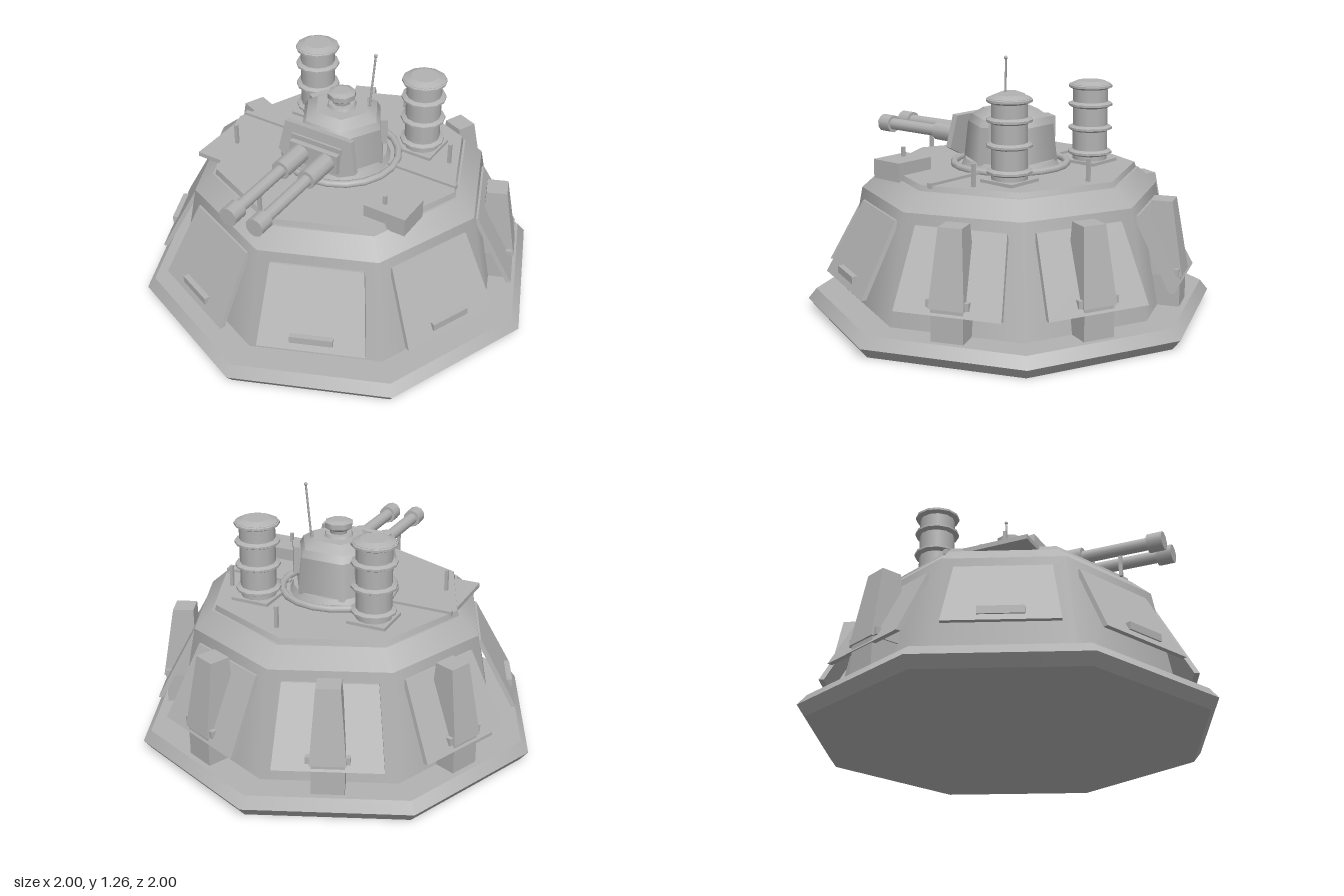
import * as THREE from 'three';

const grey = new THREE.MeshStandardMaterial({ color: 0xb2b2b2 });
grey.name = 'armour grey';

function add(parent, name, geometry, x = 0, y = 0, z = 0) {
  const mesh = new THREE.Mesh(geometry, grey);
  mesh.name = name;
  mesh.position.set(x, y, z);
  parent.add(mesh);
  return mesh;
}

const box = (w, h, d) => new THREE.BoxGeometry(w, h, d);

// Stacked frusta from [radius, y] pairs, with hard edges between the bands
function stack(parent, name, profile, sides, thetaStart = 0) {
  const group = new THREE.Group();
  group.name = name;
  for (let i = 0; i < profile.length - 1; i++) {
    const [r0, y0] = profile[i], [r1, y1] = profile[i + 1];
    const open = i > 0 && i < profile.length - 2;
    add(group, name + 'Band', new THREE.CylinderGeometry(r1, r0, y1 - y0, sides, 1, open, thetaStart), 0, (y0 + y1) / 2, 0);
  }
  parent.add(group);
  return group;
}

// Six-sided block whose bottom and top are {y, w, near, far}
function taper(bottom, top) {
  const g = box(1, 1, 1), p = g.attributes.position;
  for (let i = 0; i < p.count; i++) {
    const s = p.getY(i) > 0 ? top : bottom;
    p.setXYZ(i, p.getX(i) * s.w, s.y, p.getZ(i) > 0 ? s.far : s.near);
  }
  g.computeVertexNormals();
  return g;
}

function rod(parent, name, r, from, to, sides = 8) {
  const a = new THREE.Vector3(...from), b = new THREE.Vector3(...to);
  const mesh = add(parent, name, new THREE.CylinderGeometry(r, r, a.distanceTo(b), sides));
  mesh.position.copy(a).add(b).multiplyScalar(0.5);
  mesh.quaternion.setFromUnitVectors(new THREE.Vector3(0, 1, 0), b.sub(a).normalize());
  return mesh;
}

export function createModel() {
  const model = new THREE.Group();
  model.name = 'bunker';

  // Octagonal foundation, walls and deck
  stack(model, 'foundation', [[0.96, 0], [1, 0.05], [0.96, 0.1]], 8);
  stack(model, 'wall', [[0.82, 0.09], [0.72, 0.61], [0.63, 0.69]], 8);
  add(model, 'deck', new THREE.CylinderGeometry(0.61, 0.62, 0.03, 8), 0, 0.7, 0);

  // Flared armour flaps on every face, with buttresses on the rear four
  for (let i = 0; i < 8; i++) {
    const angle = (i + 0.5) * Math.PI / 4;
    const side = new THREE.Group();
    side.name = 'armourSide';
    side.rotation.y = angle;
    add(side, 'flap', taper({ y: 0.22, w: 0.5, near: 0.842, far: 0.866 }, { y: 0.56, w: 0.43, near: 0.66, far: 0.684 }));
    add(side, 'slotSill', box(0.2, 0.035, 0.03), 0, 0.27, 0.842);
    if (Math.cos(angle) < 0) {
      add(side, 'buttress', taper({ y: 0.25, w: 0.165, near: 0.7, far: 0.87 }, { y: 0.6, w: 0.11, near: 0.71, far: 0.81 }));
      add(side, 'buttressFoot', box(0.15, 0.2, 0.16), 0, 0.15, 0.78);
    }
    model.add(side);
  }

  // Deck fittings
  add(model, 'sidePlate', box(0.5, 0.022, 0.4), -0.345, 0.7, 0.16);
  add(model, 'hatchBox', box(0.21, 0.09, 0.17), 0.45, 0.73, 0.285);
  for (const s of [-1, 1]) add(model, 'deckRib', box(0.36, 0.025, 0.025), s * 0.42, 0.715, -0.04);
  for (const [x, z] of [[-0.48, 0.2], [0.42, 0.31], [0.48, -0.2], [0.06, -0.52], [-0.06, 0.6]])
    add(model, 'post', box(0.016, 0.12, 0.016), x, 0.76, z);

  // Ringed exhaust stacks
  for (const s of [-1, 1]) {
    add(model, 'stackPad', box(0.19, 0.02, 0.19), s * 0.3, 0.72, -0.255);
    const pipe = stack(model, 'exhaustStack', [[0.085, 0.71], [0.085, 1.08], [0.1, 1.09], [0.1, 1.1], [0.065, 1.115]], 12);
    pipe.position.set(s * 0.3, 0, -0.255);
    for (const y of [0.765, 0.885, 1.0, 1.09]) {
      const ring = stack(pipe, 'stackRing', [[0.088, -0.014], [0.107, -0.005], [0.107, 0.005], [0.088, 0.014]], 12);
      ring.position.y = y;
    }
  }

  // Turret ring and hexagonal turret
  const turret = new THREE.Group();
  turret.name = 'turret';
  model.add(turret);
  const race = add(turret, 'turretRing', new THREE.TorusGeometry(0.275, 0.018, 8, 20), 0, 0.725, 0);
  race.rotation.x = Math.PI / 2;
  add(turret, 'turretBase', new THREE.CylinderGeometry(0.22, 0.24, 0.04, 20), 0, 0.73, 0);
  stack(turret, 'turretBody', [[0.23, 0.74], [0.21, 0.92], [0.19, 0.955], [0.135, 0.99]], 6, Math.PI / 6);
  add(turret, 'cupolaPlate', new THREE.CylinderGeometry(0.065, 0.075, 0.02, 8), 0, 0.995, 0);
  stack(turret, 'cupola', [[0.04, 0.99], [0.045, 1.02], [0.068, 1.035], [0.068, 1.06], [0.04, 1.07]], 8);

  // Side boxes on the rear slopes of the turret
  for (const s of [-1, 1]) {
    const sideBox = add(turret, 'sideBox', box(0.035, 0.13, 0.1), s * 0.18, 0.88, -0.09);
    sideBox.rotation.y = s * Math.PI / 6;
  }

  // Gun shield with vision slit
  const shield = new THREE.Shape([[-0.13, -0.09], [0.13, -0.09], [0.21, -0.05], [0.18, 0.11], [-0.18, 0.11], [-0.21, -0.05]].map(p => new THREE.Vector2(...p)));
  const plate = add(turret, 'gunShield', new THREE.ExtrudeGeometry(shield, { depth: 0.03, bevelEnabled: false }), 0, 0.845, 0.195);
  plate.rotation.x = -0.12;
  add(turret, 'visionSlit', box(0.27, 0.03, 0.02), 0, 0.895, 0.218);
  add(turret, 'gunMount', box(0.26, 0.1, 0.05), 0, 0.835, 0.23);

  // Twin guns
  for (const x of [-0.07, 0.07]) {
    const gun = new THREE.Group();
    gun.name = 'gun';
    turret.add(gun);
    rod(gun, 'sleeve', 0.047, [x, 0.837, 0.2], [x, 0.837, 0.42], 10);
    rod(gun, 'barrel', 0.03, [x, 0.836, 0.4], [x, 0.833, 0.76], 10);
    rod(gun, 'muzzle', 0.045, [x, 0.833, 0.745], [x, 0.833, 0.82], 10);
  }

  // Antenna
  rod(turret, 'antenna', 0.005, [0.11, 0.95, -0.065], [0.13, 1.25, -0.085], 6);
  add(turret, 'antennaTip', new THREE.SphereGeometry(0.009, 8, 6), 0.13, 1.25, -0.085);
  return model;
}
